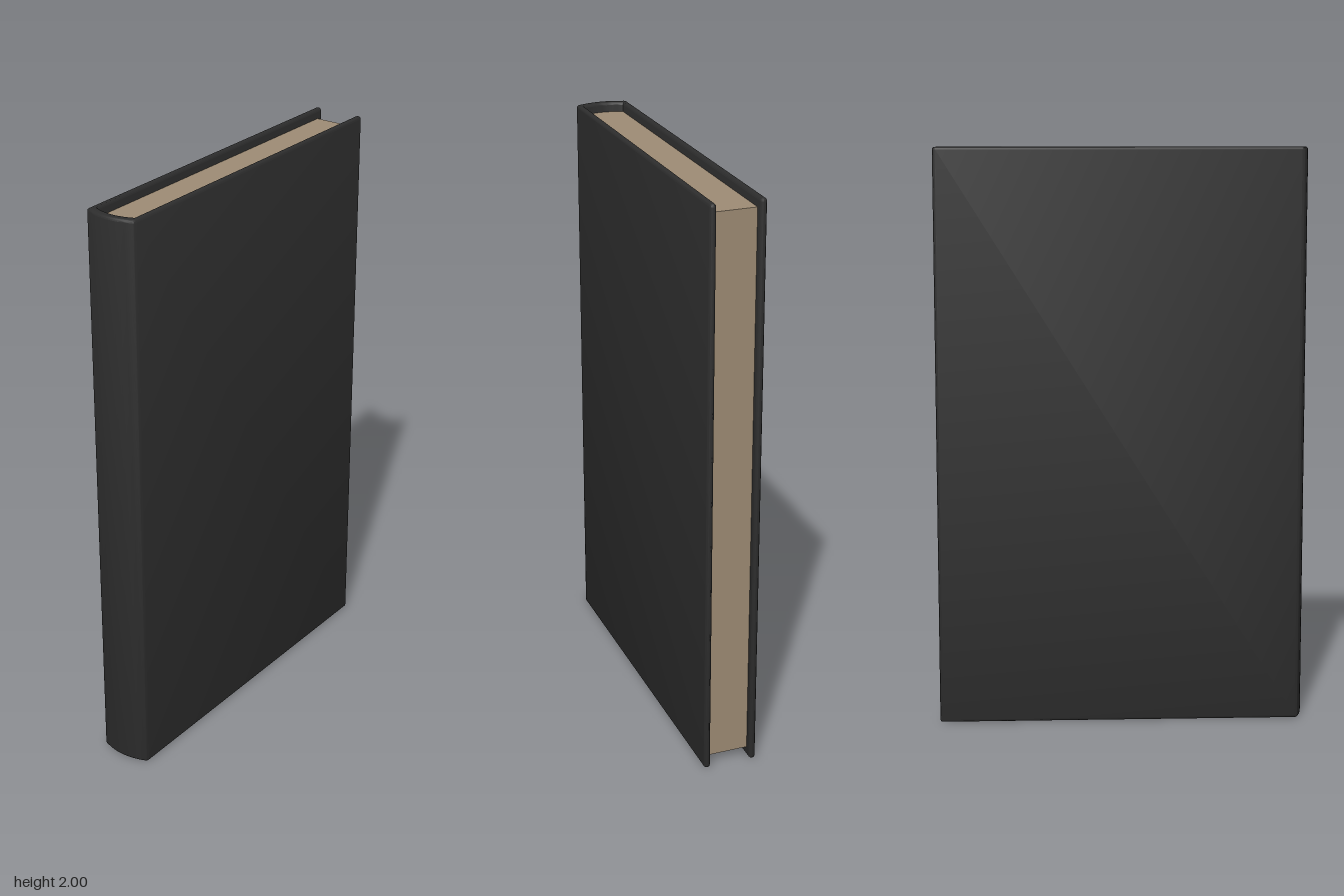
import * as THREE from 'three';
import { toCreasedNormals } from 'three/addons/utils/BufferGeometryUtils.js';

const Z_OUT = 0.094, Z_IN = 0.072;

// Extrude a shape drawn in plan (x, -z) upwards between two heights
function extrudeUp(shape, y0, y1, bevel) {
  const geo = new THREE.ExtrudeGeometry(shape, {
    depth: y1 - y0 - 2 * bevel,
    bevelEnabled: bevel > 0,
    bevelThickness: bevel,
    bevelSize: bevel,
    bevelOffset: -bevel,
    bevelSegments: 3,
    curveSegments: 8,
  });
  geo.rotateX(-Math.PI / 2);
  geo.translate(0, y0 + bevel, 0);
  return toCreasedNormals(geo, 0.6);
}

// C-shaped plan: two boards with round fore edges joined by a bowed spine
function coverShape() {
  const s = new THREE.Shape();
  const r = (Z_OUT - Z_IN) / 2, mid = (Z_OUT + Z_IN) / 2, edge = 0.64 - r;
  s.moveTo(-0.61, -Z_OUT);
  s.lineTo(edge, -Z_OUT);
  s.absarc(edge, -mid, r, -Math.PI / 2, Math.PI / 2, false);
  s.lineTo(-0.592, -Z_IN);
  s.quadraticCurveTo(-0.626, 0, -0.592, Z_IN);
  s.lineTo(edge, Z_IN);
  s.absarc(edge, mid, r, -Math.PI / 2, Math.PI / 2, false);
  s.lineTo(-0.61, Z_OUT);
  s.quadraticCurveTo(-0.62, Z_OUT, -0.623, 0.083);
  s.quadraticCurveTo(-0.657, 0, -0.623, -0.083);
  s.quadraticCurveTo(-0.62, -Z_OUT, -0.61, -Z_OUT);
  return s;
}

// Page block plan, following the bow of the spine
function pagesShape() {
  const s = new THREE.Shape();
  s.moveTo(-0.592, -Z_IN);
  s.lineTo(0.612, -Z_IN);
  s.lineTo(0.612, Z_IN);
  s.lineTo(-0.592, Z_IN);
  s.quadraticCurveTo(-0.626, 0, -0.592, -Z_IN);
  return s;
}

export function createModel() {
  const coverMat = new THREE.MeshStandardMaterial({ color: 0x2d2d2d });
  coverMat.name = 'charcoal cover';
  const paperMat = new THREE.MeshStandardMaterial({ color: 0x9d8b74 });
  paperMat.name = 'tan paper';

  const cover = new THREE.Mesh(extrudeUp(coverShape(), 0, 2, 0.009), coverMat);
  cover.name = 'cover';
  const pages = new THREE.Mesh(extrudeUp(pagesShape(), 0.033, 1.967, 0), paperMat);
  pages.name = 'pages';

  const book = new THREE.Group();
  book.name = 'book';
  book.add(cover, pages);
  return book;
}
